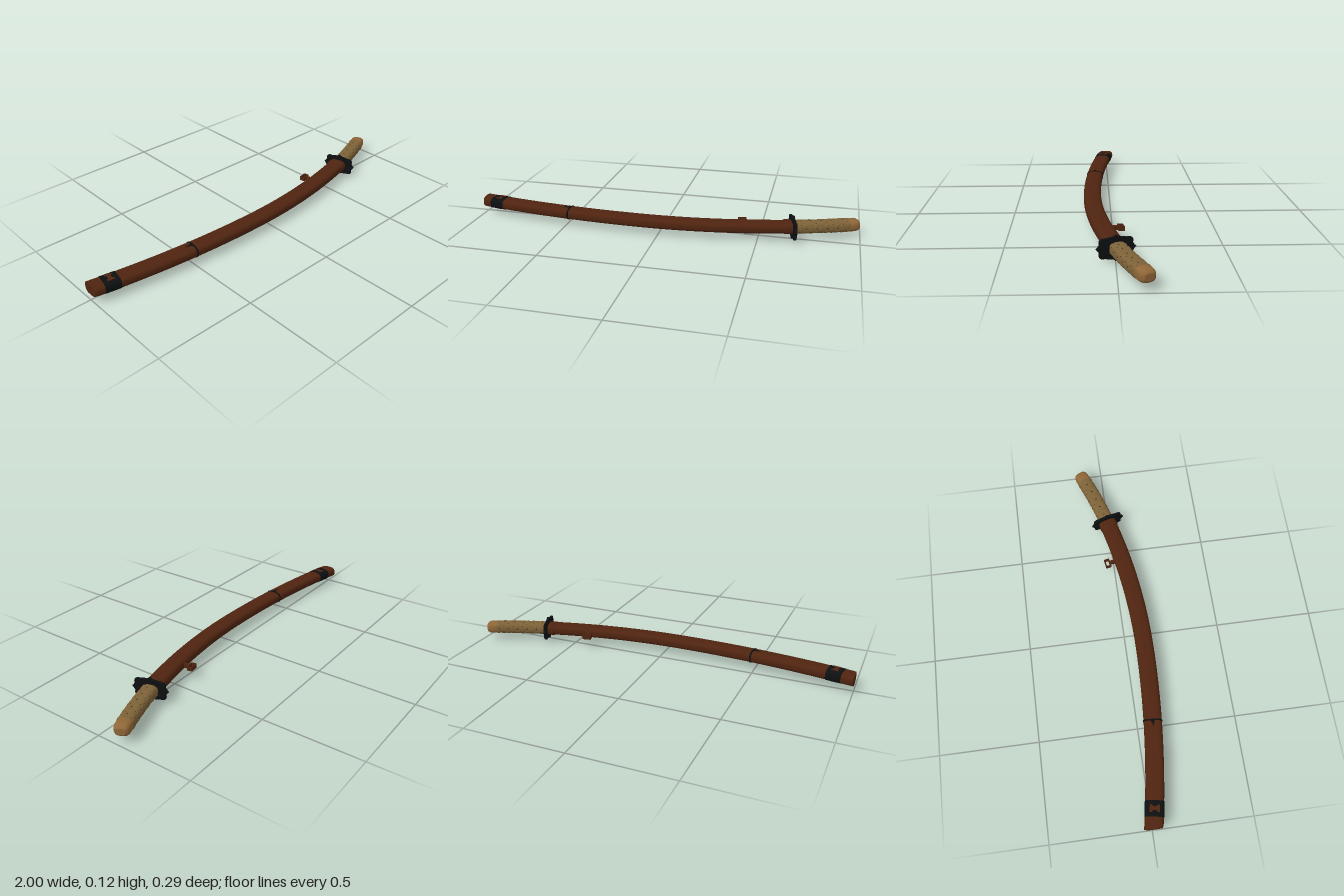
import * as THREE from 'three';

const MID_Y = 0.062;
const WRAP_START = 0.68, WRAP_END = 0.935, HANDLE_A = 0.036, HANDLE_B = 0.027;

// Curved centre line: z and slope for a given x
function spine(x) {
  if (x > 0.66) {
    const u = x - 0.66;
    return { z: -0.0052 - 0.271 * u - 0.26 * u * u, s: -0.271 - 0.52 * u };
  }
  const k = x < -0.08 ? 0.106 : 0.183, u = x + 0.08;
  return { z: 0.095 - k * u * u, s: -2 * k * u };
}

// Point on a rounded oval section square to the centre line
function sectionPoint(x, angle, a, b, round = 0.7) {
  const { z, s } = spine(x), len = Math.hypot(1, s);
  const c = Math.cos(angle), n = Math.sin(angle);
  const across = a * Math.sign(c) * Math.abs(c) ** round;
  const up = b * Math.sign(n) * Math.abs(n) ** round;
  return [Math.max(-1, x - (s / len) * across), MID_Y + up, z + across / len];
}

// Solid swept along the centre line; rings are [x, halfDepth, halfHeight]
function sweep(rings, sides = 32) {
  const pos = [], idx = [];
  const ring = ([x, a, b]) => {
    for (let j = 0; j < sides; j++) pos.push(...sectionPoint(x, (j / sides) * Math.PI * 2, a, b));
  };
  rings.forEach(ring);
  for (let i = 0; i < rings.length - 1; i++) {
    for (let j = 0; j < sides; j++) {
      const k = (j + 1) % sides, p = i * sides, q = p + sides;
      idx.push(p + j, q + j, q + k, p + j, q + k, p + k);
    }
  }
  [rings[0], rings[rings.length - 1]].forEach((r, end) => {
    const base = pos.length / 3;
    ring(r);
    pos.push(Math.max(-1, r[0]), MID_Y, spine(r[0]).z);
    for (let j = 0; j < sides; j++) {
      const k = (j + 1) % sides;
      idx.push(base + sides, base + (end ? k : j), base + (end ? j : k));
    }
  });
  return toGeometry(pos, idx);
}

function toGeometry(pos, idx) {
  const g = new THREE.BufferGeometry();
  g.setAttribute('position', new THREE.Float32BufferAttribute(pos, 3));
  g.setIndex(idx);
  g.computeVertexNormals();
  return g;
}

const span = (x0, x1, a, b, n) =>
  Array.from({ length: n + 1 }, (_, i) => [x0 + ((x1 - x0) * i) / n, a, b]);

// One woven ribbon spiralling round the grip
function ribbon(i, dir) {
  const pos = [], idx = [], steps = 64, cols = 4, pitch = 0.05, count = 6;
  for (let r = 0; r <= steps; r++) {
    const x = WRAP_START + ((WRAP_END - WRAP_START) * r) / steps;
    for (let c = 0; c <= cols; c++) {
      const v = (c / cols) * 2 - 1;
      const angle = (dir * (i + v * 0.43 - x / pitch) * Math.PI * 2) / count;
      const other = (2 * x) / pitch - i;
      const lift = 0.003 + dir * 0.0018 * Math.cos(Math.PI * (other + i)) - 0.0012 * v * v;
      pos.push(...sectionPoint(x, angle, HANDLE_A + lift, HANDLE_B + lift));
      if (r < steps && c < cols) {
        const p = r * (cols + 1) + c, q = p + cols + 1;
        if (dir > 0) idx.push(p, q, q + 1, p, q + 1, p + 1);
        else idx.push(p, q + 1, q, p, p + 1, q + 1);
      }
    }
  }
  return toGeometry(pos, idx);
}

// Four-lobed guard outline with a point on every side
function guardShape() {
  const s = new THREE.Shape();
  s.moveTo(0.091, 0);
  const quarter = [
    [0.082, 0.007, 0.076, 0.02], [0.082, 0.038, 0.068, 0.044],
    [0.058, 0.048, 0.05, 0.045], [0.035, 0.05, 0.02, 0.05], [0.007, 0.053, 0, 0.0615],
  ];
  const starts = [[0.091, 0], ...quarter.map((q) => [q[2], q[3]])];
  for (let k = 0; k < 4; k++) {
    const mx = k === 1 || k === 2 ? -1 : 1, my = k > 1 ? -1 : 1;
    for (let n = 0; n < 5; n++) {
      const m = k % 2 ? 4 - n : n, e = starts[k % 2 ? m : m + 1];
      s.quadraticCurveTo(mx * quarter[m][0], my * quarter[m][1], mx * e[0], my * e[1]);
    }
  }
  return s;
}

function polygon(points) {
  return new THREE.Shape(points.map(([x, y]) => new THREE.Vector2(x, y)));
}

// Flat plate lying level, centred on its thickness
function plate(shape, depth) {
  return new THREE.ExtrudeGeometry(shape, { depth, bevelEnabled: false })
    .translate(0, 0, -depth / 2).rotateX(-Math.PI / 2);
}

export function createModel() {
  const model = new THREE.Group();
  const mat = (name, color, extra = {}) => {
    const m = new THREE.MeshStandardMaterial({ color, ...extra });
    m.name = name;
    return m;
  };
  const wood = mat('red brown wood', 0x4f2410);
  const black = mat('black iron', 0x0d0f11);
  const tan = mat('tan wood', 0x8f6638);
  const cord = mat('tan wrapping', 0x7d6238, { side: THREE.DoubleSide });
  const shade = mat('dark grip lining', 0x2c2415);

  const add = (name, geometry, material, parent = model) => {
    const m = new THREE.Mesh(geometry, material);
    m.name = name;
    parent.add(m);
    return m;
  };
  const along = (object, x, y) => {
    const { z, s } = spine(x);
    object.position.set(x, y, z);
    object.rotation.y = -Math.atan(s);
    return object;
  };

  // Scabbard and its mouth collar
  add('scabbard', sweep(span(-1.005, 0.64, 0.046, 0.0285, 60)), wood);
  add('mouthCollar', sweep([[0.622, 0.046, 0.0285], [0.626, 0.049, 0.031],
    [0.645, 0.049, 0.031], [0.664, 0.046, 0.029]]), wood);

  // Tip band with an inlay on both flat sides
  add('tipBand', sweep(span(-0.945, -0.87, 0.0475, 0.03, 4)), black);
  const inlay = polygon([[-0.018, -0.024], [0.018, -0.024], [0.018, -0.014], [0.009, -0.008],
    [0.009, 0.008], [0.018, 0.014], [0.018, 0.024], [-0.018, 0.024], [-0.018, 0.014],
    [-0.009, 0.008], [-0.009, -0.008], [-0.018, -0.014]]);
  // Thin ring with a pointed leaf on both flat sides
  add('scabbardRing', sweep(span(-0.486, -0.478, 0.048, 0.0305, 1)), black);
  const leaf = polygon([[0, -0.013], [0, 0.013], [-0.018, 0.004], [-0.038, 0], [-0.018, -0.004]]);
  for (const side of [1, -1]) {
    along(add('tipInlay', plate(inlay, 0.005), wood), -0.907, MID_Y + side * 0.0287);
    along(add('ringLeaf', plate(leaf, 0.005), black), -0.482, MID_Y + side * 0.0285);
  }

  // Hanging loop on the back edge
  const hanger = along(new THREE.Group(), 0.425, MID_Y);
  hanger.name = 'hangingLoop';
  model.add(hanger);
  const frame = polygon([[-0.022, -0.014], [0.022, -0.014], [0.022, 0.014], [-0.022, 0.014]]);
  frame.holes.push(polygon([[-0.017, -0.009], [-0.017, 0.009], [0.017, 0.009], [0.017, -0.009]]));
  add('loopFrame', plate(frame, 0.022), wood, hanger).position.z = -0.084;
  add('loopStem', new THREE.BoxGeometry(0.016, 0.02, 0.034), wood, hanger).position.z = -0.056;

  // Guard
  const guard = add('guard', new THREE.ExtrudeGeometry(guardShape(), {
    depth: 0.009, bevelEnabled: true, bevelThickness: 0.002, bevelSize: 0.0015,
    bevelOffset: -0.0015, bevelSegments: 1, curveSegments: 6,
  }).translate(0, 0, -0.0045), black);
  guard.position.set(0.668, MID_Y, -0.002);
  guard.rotation.y = Math.atan2(-1, -spine(0.668).s);

  // Grip lining, woven wrapping and rounded end
  add('gripLining', sweep(span(0.66, 0.94, HANDLE_A, HANDLE_B, 20)), shade);
  const wrap = new THREE.Group();
  wrap.name = 'gripWrapping';
  model.add(wrap);
  for (let i = 0; i < 6; i++) {
    for (const dir of [1, -1]) add('ribbon', ribbon(i, dir), cord, wrap);
  }
  add('handleEnd', sweep([[0.925, 0.037, 0.029], [0.945, 0.038, 0.0305], [0.965, 0.037, 0.03],
    [0.976, 0.034, 0.0275], [0.983, 0.029, 0.023], [0.987, 0.021, 0.016]]), tan);

  return model;
}
